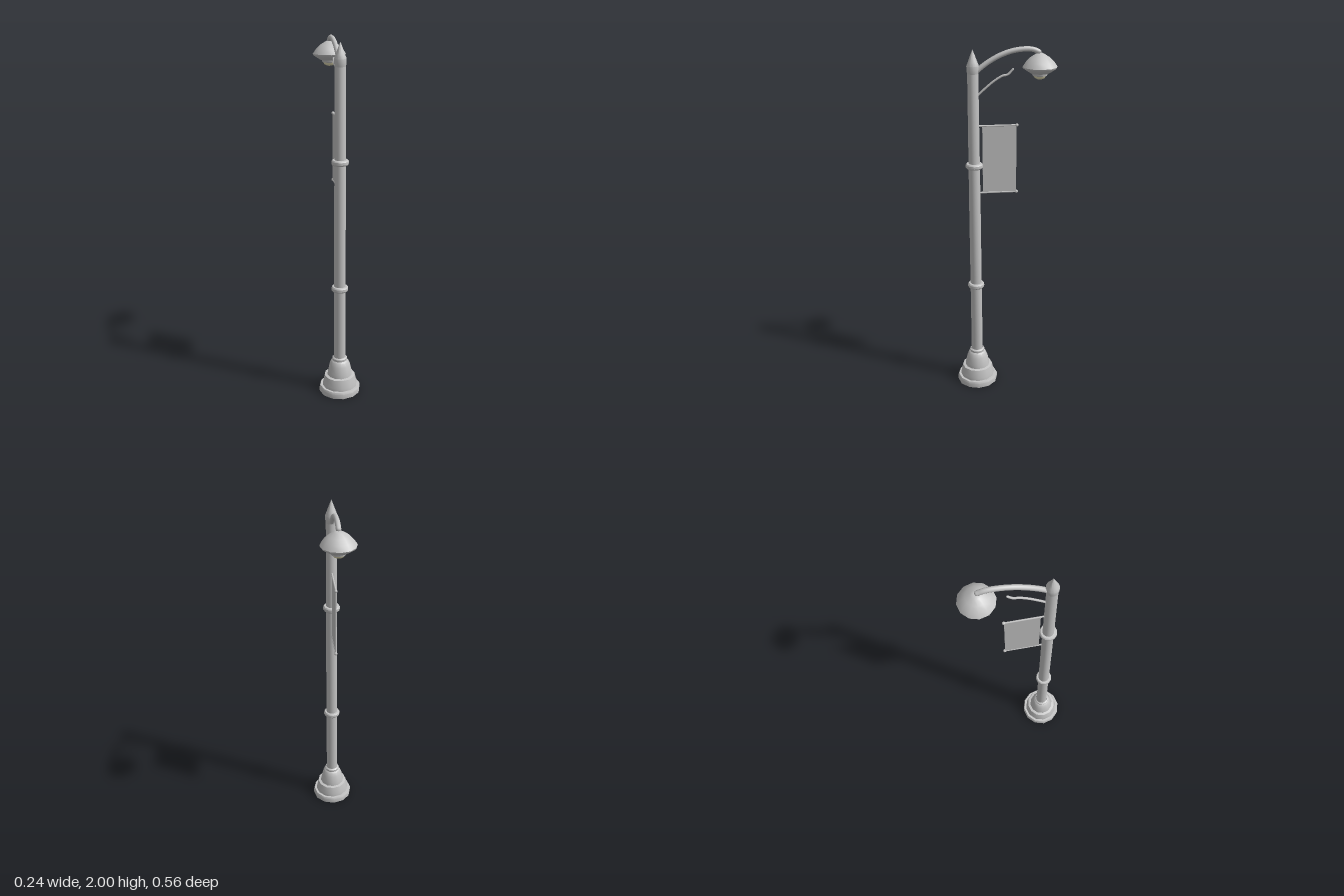
import * as THREE from 'three';
import { toCreasedNormals } from 'three/addons/utils/BufferGeometryUtils.js';

const POLE_Z = 0.162;
const LAMP_Z = -0.189;

export function createModel() {
  const root = new THREE.Group();
  root.name = 'streetLamp';

  const metal = new THREE.MeshStandardMaterial({ color: 0xc4c4c4 });
  metal.name = 'grey metal';
  const glass = new THREE.MeshStandardMaterial({ color: 0xe6dfb8 });
  glass.name = 'pale yellow glass';

  const add = (name, geometry, material, x = 0, y = 0, z = 0) => {
    const mesh = new THREE.Mesh(geometry, material);
    mesh.name = name;
    mesh.position.set(x, y, z);
    root.add(mesh);
    return mesh;
  };
  // Turned part from [radius, height] pairs, bottom to top
  const turned = (name, profile, z, material = metal, sides = 12) => {
    const points = profile.map(([r, y]) => new THREE.Vector2(r, y));
    return add(name, toCreasedNormals(new THREE.LatheGeometry(points, sides), 0.6), material, 0, 0, z);
  };
  // Bent rod through [y, z] pairs in the plane x = 0
  const rod = (name, path, radius, sides) => {
    const curve = new THREE.CatmullRomCurve3(path.map(([y, z]) => new THREE.Vector3(0, y, z)));
    add(name, new THREE.TubeGeometry(curve, 20, radius, sides), metal);
    const end = curve.getPoint(1);
    add(name + 'End', new THREE.SphereGeometry(radius, 8, 6), metal, end.x, end.y, end.z);
  };

  // Stepped base with collar
  turned('base', [
    [0, 0], [0.118, 0], [0.118, 0.027], [0.113, 0.037], [0.1, 0.037], [0.098, 0.055],
    [0.088, 0.1], [0.072, 0.103], [0.069, 0.125], [0.06, 0.165], [0.05, 0.188],
    [0.042, 0.195], [0.043, 0.208], [0.034, 0.214],
  ], POLE_Z);

  // Gently tapering pole
  turned('pole', [[0.033, 0.2], [0.032, 1.1], [0.029, 1.87]], POLE_Z);

  // Rounded rings on the pole
  for (const y of [0.64, 1.365]) {
    turned('poleRing', [
      [0.03, y - 0.015], [0.042, y - 0.014], [0.047, y - 0.007],
      [0.047, y + 0.007], [0.042, y + 0.014], [0.03, y + 0.015],
    ], POLE_Z);
  }

  // Pointed cap
  turned('finial', [
    [0.028, 1.86], [0.031, 1.875], [0.033, 1.905], [0.025, 1.925], [0.012, 1.96], [0, 1.99],
  ], POLE_Z);

  // Curved arm and the brace below it
  rod('arm', [[1.865, 0.155], [1.9, 0.115], [1.942, 0.05], [1.972, -0.02], [1.986, -0.09],
    [1.985, -0.15], [1.972, -0.182]], 0.0135, 10);
  rod('brace', [[1.745, 0.145], [1.79, 0.095], [1.826, 0.05], [1.852, 0.005],
    [1.857, -0.02], [1.884, -0.047]], 0.006, 8);

  // Lamp head
  turned('shade', [
    [0, 1.862], [0.05, 1.862], [0.089, 1.887], [0.0925, 1.895], [0.075, 1.92],
    [0.052, 1.942], [0.025, 1.959], [0.01, 1.966], [0, 1.967],
  ], LAMP_Z);
  turned('socket', [[0.034, 1.848], [0.039, 1.85], [0.043, 1.866]], LAMP_Z);
  turned('bulb', [[0, 1.828], [0.014, 1.83], [0.026, 1.836], [0.033, 1.846], [0.036, 1.858]], LAMP_Z, glass);

  // Banner hung between two rods with ball ends
  add('banner', new THREE.BoxGeometry(0.004, 0.376, 0.184), metal, 0, 1.397, 0.024);
  for (const y of [1.586, 1.208]) {
    const bar = add('bannerRod', new THREE.CylinderGeometry(0.005, 0.005, 0.22, 8), metal, 0, y, 0.04);
    bar.rotation.x = Math.PI / 2;
    add('rodBall', new THREE.SphereGeometry(0.009, 8, 6), metal, 0, y, -0.07);
  }

  return root;
}
